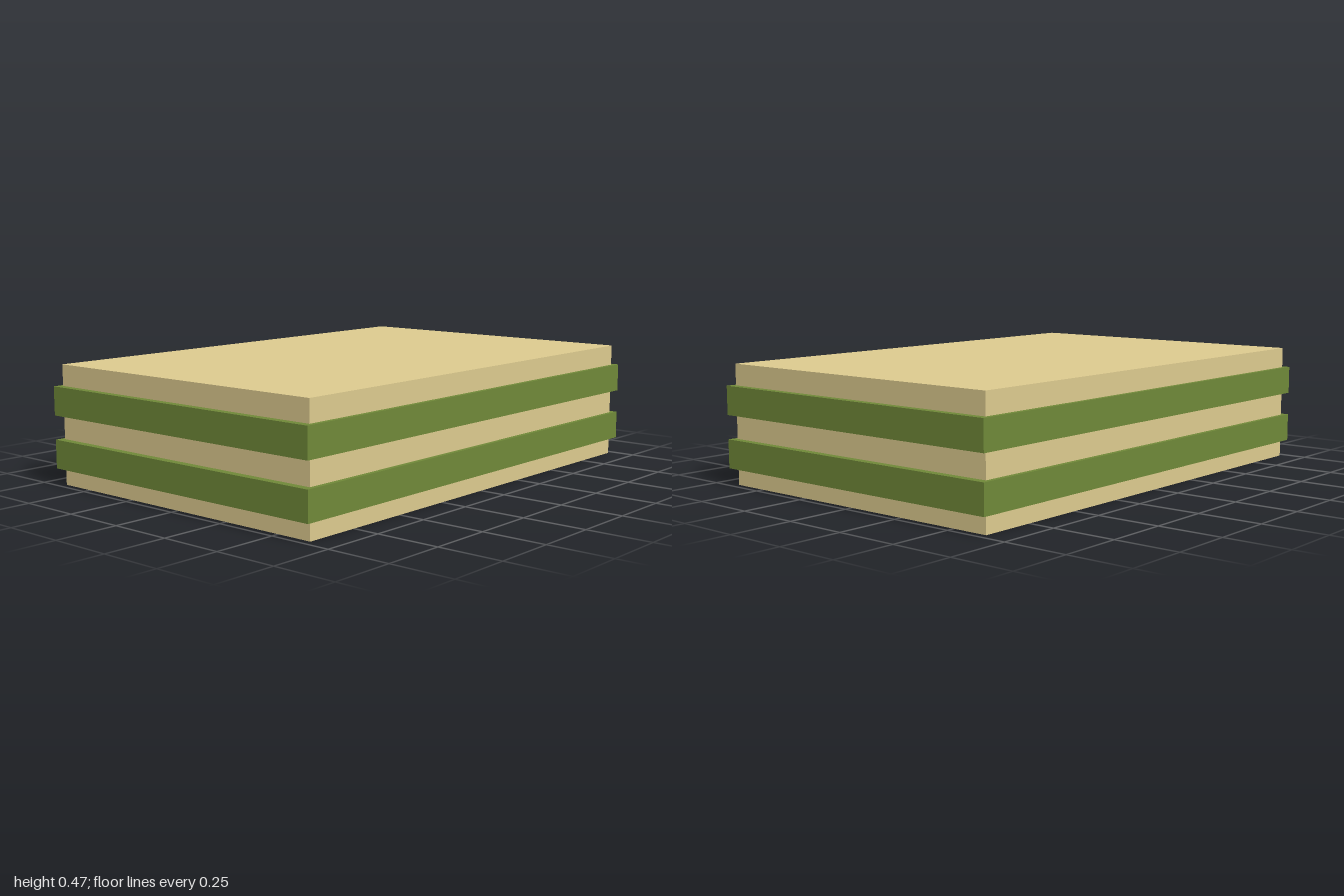
import * as THREE from 'three';

export function createModel() {
  const group = new THREE.Group();
  const tan = new THREE.MeshStandardMaterial({ color: 0xdcca8e });
  const green = new THREE.MeshStandardMaterial({ color: 0x6f8838 });

  // Box slab spanning the heights y0 to y1
  const slab = (name, width, depth, y0, y1, material) => {
    const mesh = new THREE.Mesh(new THREE.BoxGeometry(width, y1 - y0, depth), material);
    mesh.name = name;
    mesh.position.y = (y0 + y1) / 2;
    group.add(mesh);
  };

  // Solid core block
  slab('core', 1.94, 1.29, 0, 0.475, tan);

  // Two wider bands around the core
  slab('lowerBand', 2, 1.327, 0.068, 0.182, green);
  slab('upperBand', 2, 1.327, 0.277, 0.391, green);

  return group;
}
